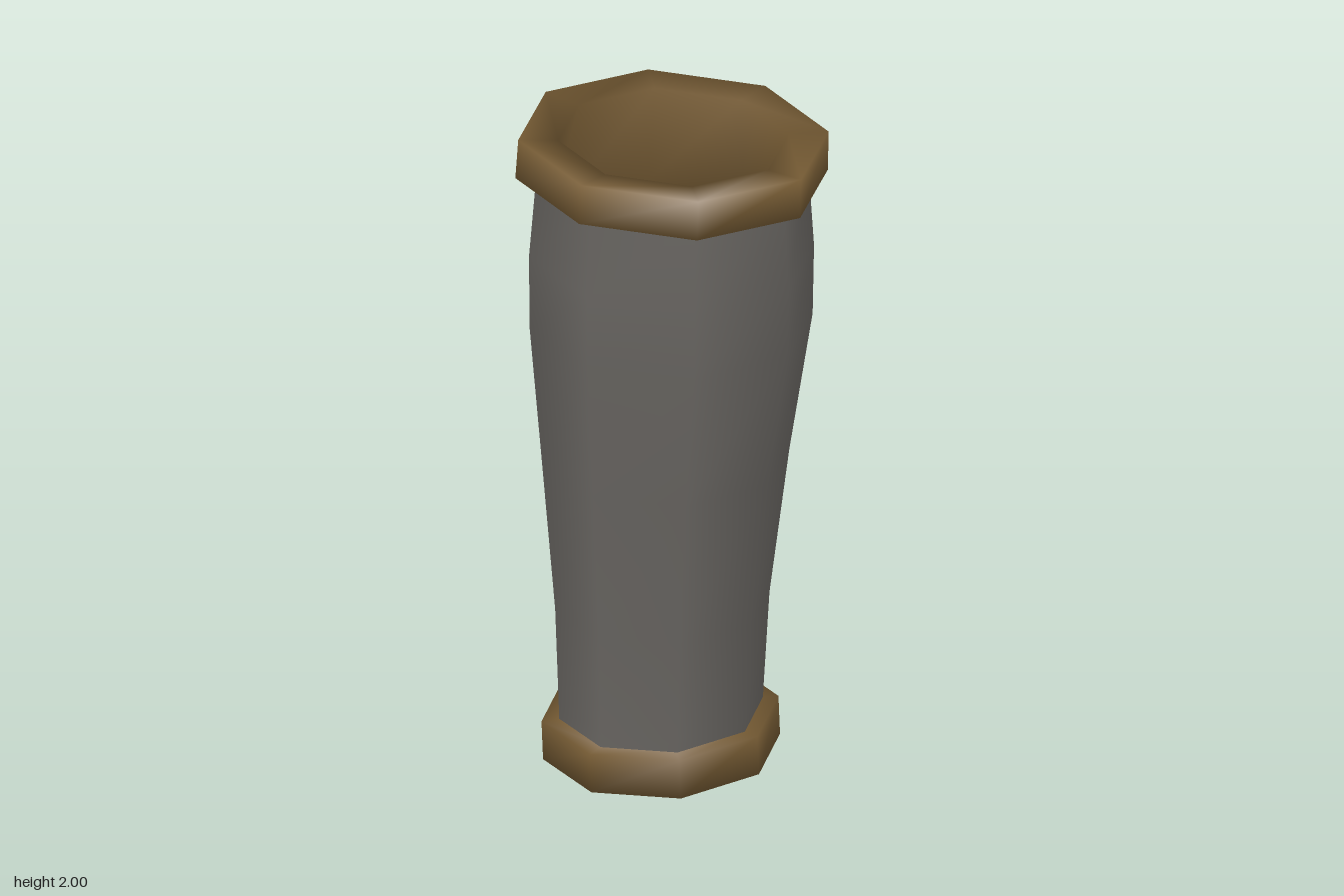
import * as THREE from 'three';

const SIDES = 8;

// Skin a stack of tilted octagons; each ring is { x, y, z, r, sx, sz, h }
// with sx, sz the slopes of its plane and h an offset along the plane's normal.
function loft(rings, closed) {
  const pos = [], index = [];
  for (const { x, y, z, r, sx, sz, h = 0 } of rings) {
    for (let j = 0; j < SIDES; j++) {
      const t = (j / SIDES) * Math.PI * 2;
      const dx = r * Math.cos(t), dz = r * Math.sin(t);
      pos.push(x + dx - sx * h, y + h + sx * dx + sz * dz, z + dz - sz * h);
    }
  }
  const n = rings.length;
  for (let i = 0; i < (closed ? n : n - 1); i++) {
    for (let j = 0; j < SIDES; j++) {
      const k = (j + 1) % SIDES, up = ((i + 1) % n) * SIDES;
      const a = i * SIDES + j, b = i * SIDES + k, c = up + j, d = up + k;
      index.push(a, c, b, b, c, d);
    }
  }
  const geo = new THREE.BufferGeometry();
  geo.setAttribute('position', new THREE.Float32BufferAttribute(pos, 3));
  geo.setIndex(index);
  geo.computeVertexNormals();
  return geo;
}

export function createModel() {
  const model = new THREE.Group();
  model.name = 'forearmGuard';

  const metal = new THREE.MeshStandardMaterial({ color: 0x6b6864, side: THREE.DoubleSide });
  metal.name = 'greyMetal';
  const leather = new THREE.MeshStandardMaterial({ color: 0x785d35, side: THREE.DoubleSide });
  leather.name = 'brownLeather';

  const add = (name, geo, mat) => {
    const mesh = new THREE.Mesh(geo, mat);
    mesh.name = name;
    model.add(mesh);
  };

  // Tapered sleeve: x, y, z, radius, slope in x, slope in z
  const sleeve = [
    [-0.105, 0.10, -0.088, 0.295, -0.04, -0.12],
    [-0.10, 0.20, -0.083, 0.298, -0.04, -0.10],
    [-0.085, 0.50, -0.068, 0.312, -0.04, -0.08],
    [-0.06, 0.95, -0.05, 0.36, -0.05, -0.06],
    [-0.035, 1.37, -0.042, 0.412, -0.06, -0.06],
    [-0.023, 1.59, -0.027, 0.415, -0.08, -0.06],
    [0, 1.86, 0, 0.395, -0.09, -0.05],
  ].map(([x, y, z, r, sx, sz]) => ({ x, y, z, r, sx, sz }));
  add('sleeve', loft(sleeve, false), metal);

  // Thick rims whose inner lining reaches into the sleeve: profile of [radius, height]
  const rim = (base, profile) => loft(profile.map(([r, h]) => ({ ...base, r, h })), true);

  add('upperRim', rim({ x: 0, y: 1.895, z: 0, sx: -0.09, sz: -0.05 }, [
    [0.455, -0.06], [0.452, 0.06], [0.335, 0.055], [0.365, -0.25], [0.378, -0.065],
  ]), leather);

  add('lowerRim', rim({ x: -0.105, y: 0.103, z: -0.088, sx: -0.04, sz: -0.12 }, [
    [0.345, -0.06], [0.345, 0.06], [0.287, 0.062], [0.28, 0.13], [0.235, -0.055],
  ]), leather);

  return model;
}
